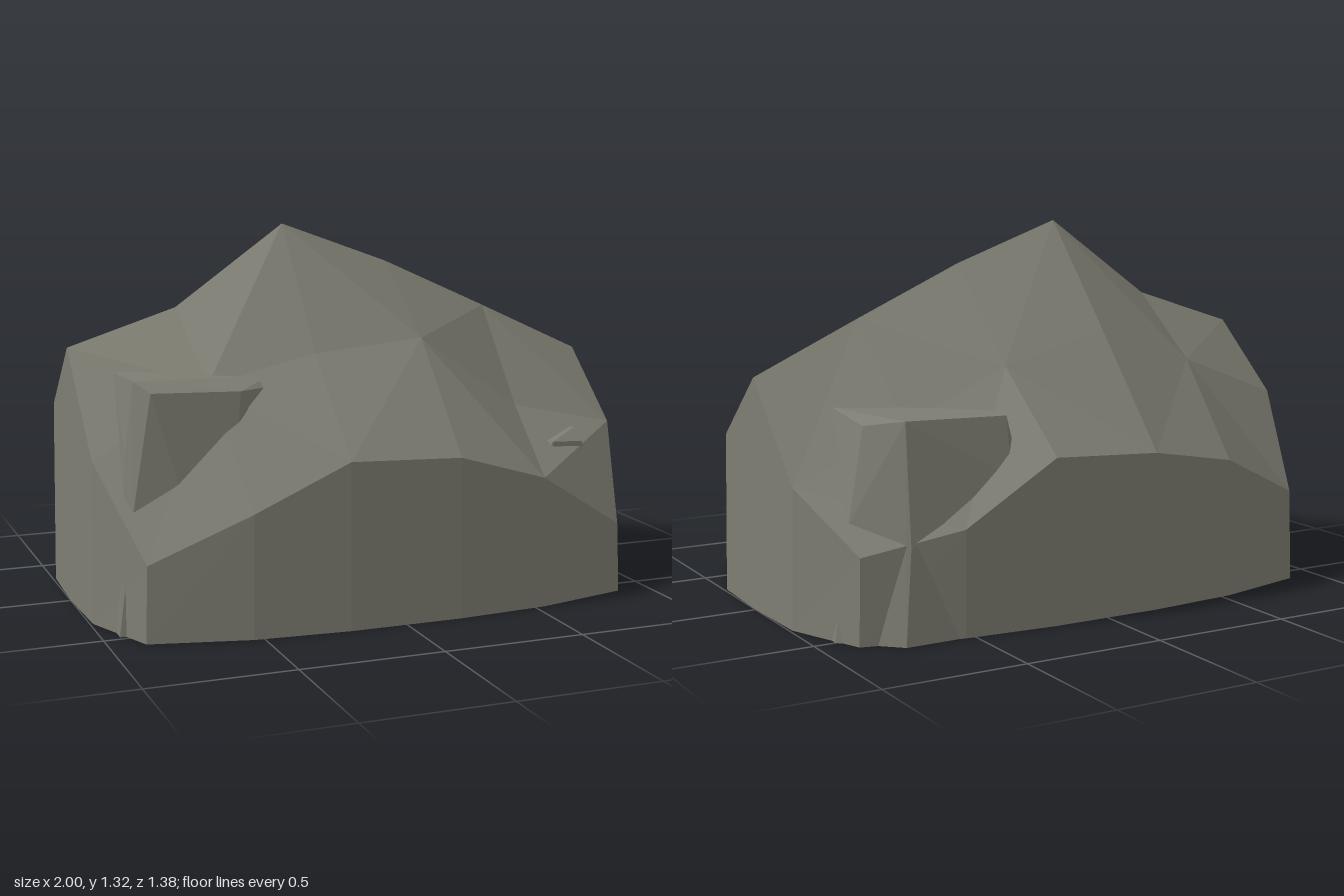
import * as THREE from 'three';
import { ConvexGeometry } from 'three/addons/geometries/ConvexGeometry.js';

// Main rock: grid of heights, rows run from back (-z) to front (+z)
const HEIGHTS = [
  [0.33, 0.49, 0.55, 0.57, 0.36, 0.29],
  [0.66, 0.81, 0.94, 0.835, 0.66, 0.48],
  [0.905, 1.03, 1.315, 1.17, 0.99, 0.81],
  [0.56, 0.80, 0.89, 0.925, 0.66, 0.57],
  [0.26, 0.42, 0.575, 0.56, 0.46, 0.25],
];
// Half widths of the columns per row, and depths per column, give the rounded plan
const ROW_X = [[0.2, 0.53, 0.87], [0.2, 0.58, 0.98], [0.2, 0.6, 0.99]];
const ROW_Z = [[0.685, 0.66, 0.58], [0.34, 0.325, 0.3], [0, 0, 0]];
const FLARE = 1.01; // the walls lean out slightly towards the ground

function gridPoint(i, j) {
  const r = j < 3 ? j : 4 - j;
  const c = i < 3 ? 2 - i : i - 3;
  const x = ROW_X[r][c] * (i < 3 ? -1 : 1);
  const z = ROW_Z[r][c] * (j < 2 ? -1 : 1);
  return [x, HEIGHTS[j][i], z];
}

function rockGeometry() {
  const pos = [];
  const tri = (a, b, c) => pos.push(...a, ...b, ...c);
  // sloping top, with diagonals alternating from cell to cell
  for (let j = 0; j < 4; j++) {
    for (let i = 0; i < 5; i++) {
      const a = gridPoint(i, j), b = gridPoint(i, j + 1);
      const c = gridPoint(i + 1, j + 1), d = gridPoint(i + 1, j);
      if ((i + j) % 2 === 0) { tri(a, b, c); tri(a, c, d); }
      else { tri(a, b, d); tri(b, c, d); }
    }
  }
  // upright walls around the rim, open underneath
  const rim = [];
  for (let i = 0; i < 5; i++) rim.push(gridPoint(i, 4));
  for (let j = 4; j > 0; j--) rim.push(gridPoint(5, j));
  for (let i = 5; i > 0; i--) rim.push(gridPoint(i, 0));
  for (let j = 0; j < 4; j++) rim.push(gridPoint(0, j));
  const ground = (p) => [p[0] * FLARE, 0, p[2] * FLARE];
  rim.forEach((p, k) => {
    const q = rim[(k + 1) % rim.length];
    tri(ground(p), ground(q), q);
    tri(ground(p), q, p);
  });
  const g = new THREE.BufferGeometry();
  g.setAttribute('position', new THREE.Float32BufferAttribute(pos, 3));
  g.computeVertexNormals();
  return g;
}

// Corner points of the boulders that stick out of the main rock
const BOULDERS = {
  backBoulder: [
    [0.78, 0.715, -0.18], [0.79, 0.69, -0.44], [0.69, 0.712, -0.55], [0.31, 0.70, -0.54],
    [0.28, 0.70, -0.44], [0.45, 0.71, -0.20],
    [0.86, 0.38, -0.475], [0.71, 0.31, -0.625], [0.32, 0.50, -0.59],
    [0.925, 0, -0.50], [0.75, 0, -0.665], [0.40, 0, -0.66], [0.12, 0, -0.53],
    [0.10, 0, -0.30], [0.25, 0, 0.02], [0.60, 0, 0.05], [0.90, 0, -0.04],
  ],
  frontLeftBoulder: [
    [-0.86, 0.83, 0.12], [-0.855, 0.835, 0.38], [-0.81, 0.80, 0.435], [-0.50, 0.79, 0.435],
    [-0.365, 0.79, 0.37], [-0.365, 0.82, 0.33], [-0.50, 0.835, 0.15],
    [-0.89, 0.60, 0.40], [-0.88, 0.42, 0.46], [-0.50, 0.40, 0.48], [-0.28, 0.40, 0.36],
    [-0.94, 0, 0.48], [-0.60, 0, 0.54], [-0.23, 0, 0.43], [-0.23, 0, 0.08],
    [-0.55, 0, -0.05], [-0.94, 0, -0.02],
  ],
  frontRightBoulder: [
    [0.79, 0.575, 0.39], [0.785, 0.535, 0.46], [0.65, 0.55, 0.495], [0.50, 0.55, 0.30],
    [0.70, 0.58, 0.20],
    [0.92, 0, 0.40], [0.70, 0, 0.55], [0.28, 0, 0.48], [0.28, 0, 0.15],
    [0.60, 0, 0.0], [0.92, 0, 0.10],
  ],
};

// Convex hull of the points, left open where it meets the ground
function boulderGeometry(points) {
  const hull = new ConvexGeometry(points.map((p) => new THREE.Vector3(...p))).attributes.position;
  const pos = [];
  for (let t = 0; t < hull.count; t += 3) {
    const onGround = [0, 1, 2].every((k) => hull.getY(t + k) < 0.001);
    if (!onGround) pos.push(...hull.array.slice(t * 3, t * 3 + 9));
  }
  const g = new THREE.BufferGeometry();
  g.setAttribute('position', new THREE.Float32BufferAttribute(pos, 3));
  g.computeVertexNormals();
  return g;
}

export function createModel() {
  const group = new THREE.Group();
  group.name = 'rockOutcrop';

  const stone = new THREE.MeshStandardMaterial({ color: 0x7d7d72, flatShading: true, side: THREE.DoubleSide });
  stone.name = 'grey stone';

  const add = (name, geometry) => {
    const mesh = new THREE.Mesh(geometry, stone);
    mesh.name = name;
    group.add(mesh);
  };

  add('mainRock', rockGeometry());
  for (const [name, points] of Object.entries(BOULDERS)) add(name, boulderGeometry(points));
  return group;
}
